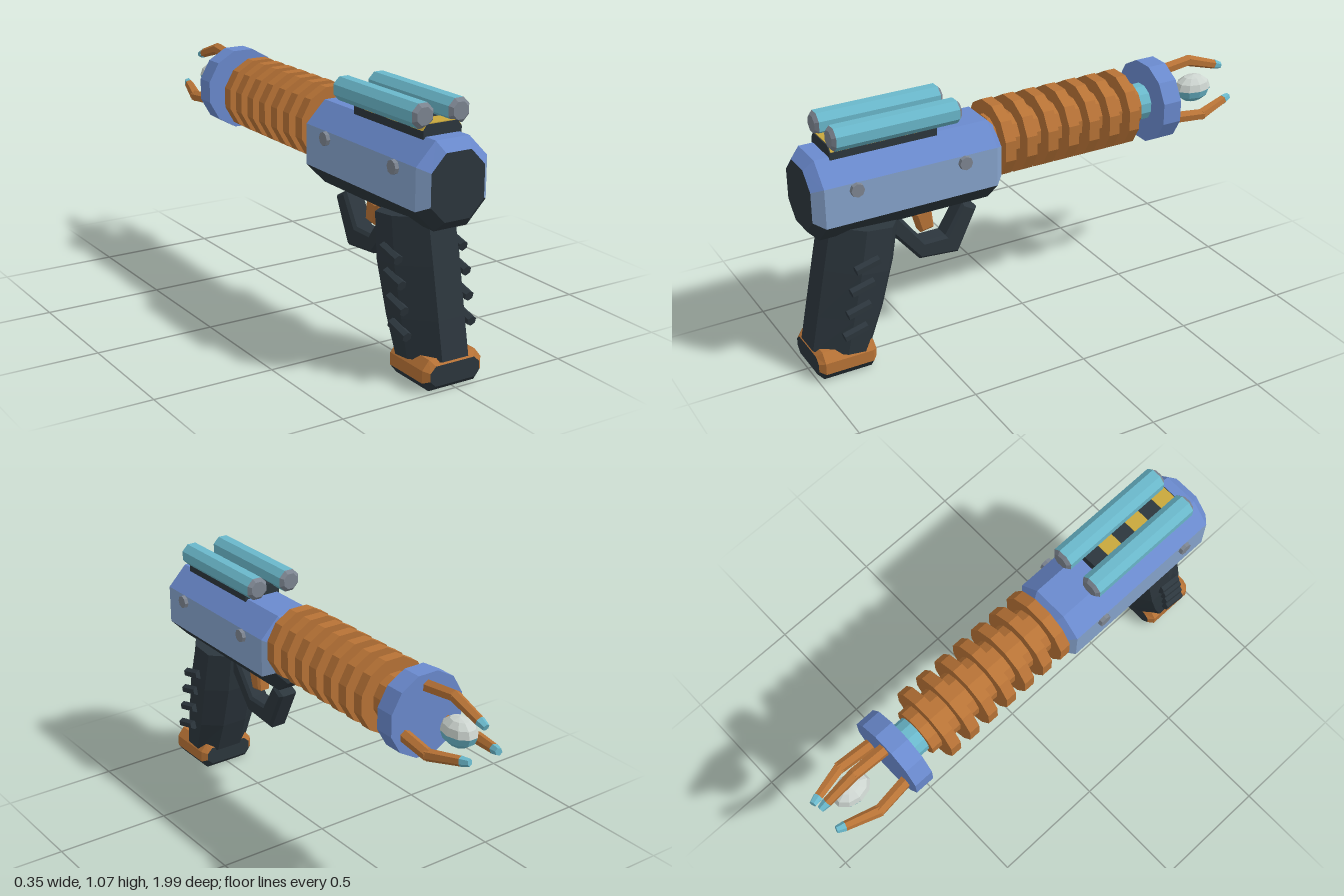
import * as THREE from 'three';

const mat = (name, color) => {
  const m = new THREE.MeshStandardMaterial({ color });
  m.name = name;
  return m;
};
const blue = mat('blue', 0x6a8ace), paleBlue = mat('paleBlue', 0x86a3cc);
const dark = mat('charcoal', 0x2c363d), copper = mat('copper', 0xb87336);
const cyan = mat('cyan', 0x6ab8cb), grey = mat('grey', 0x7d8591);
const yellow = mat('yellow', 0xc9a83c), white = mat('offWhite', 0xccd4cf);

// Faceted normals
const flat = (g) => {
  const f = g.index ? g.toNonIndexed() : g;
  f.computeVertexNormals();
  return f;
};

// Skin over cross-section rings; pick(ring, side) returns a material index, 'cap' for ends
function loft(rings, pick) {
  const g = new THREE.BufferGeometry(), pos = [], n = rings[0].length;
  const tri = (a, b, c, m) => {
    g.addGroup(pos.length / 3, 3, m);
    pos.push(...a, ...b, ...c);
  };
  for (let i = 0; i < rings.length - 1; i++) {
    const r = rings[i], s = rings[i + 1];
    for (let j = 0; j < n; j++) {
      const k = (j + 1) % n, m = pick(i, j);
      tri(r[j], r[k], s[k], m);
      tri(r[j], s[k], s[j], m);
    }
  }
  const a = rings[0], b = rings[rings.length - 1];
  for (let j = 1; j < n - 1; j++) {
    tri(a[0], a[j + 1], a[j], pick(-1, j));
    tri(b[0], b[j], b[j + 1], pick(-1, j));
  }
  g.setAttribute('position', new THREE.Float32BufferAttribute(pos, 3));
  g.computeVertexNormals();
  return g;
}

// Octagonal bar along z with bevelled ends
function octBar({ x = 0, y, hw, hy, sx, sy, z0, z1, bevel }, pick) {
  const ring = (z, b) => {
    const kx = (hw - b) / hw, ky = (hy - b) / hy;
    return [[hw, -sy], [hw, sy], [sx, hy], [-sx, hy], [-hw, sy], [-hw, -sy], [-sx, -hy], [sx, -hy]]
      .map(([u, v]) => [x + u * kx, y + v * ky, z]);
  };
  return loft([ring(z0, bevel), ring(z0 + bevel, 0), ring(z1 - bevel, 0), ring(z1, bevel)], pick);
}

export function createModel() {
  const model = new THREE.Group();
  const add = (name, geometry, material, parent = model) => {
    const m = new THREE.Mesh(geometry, material);
    m.name = name;
    parent.add(m);
    return m;
  };
  const group = (name) => {
    const g = new THREE.Group();
    g.name = name;
    model.add(g);
    return g;
  };
  // Cylinder along z with flats on the axes; r is the distance to a flat
  const drum = (name, r, z0, z1, sides, material, parent, y = 0.83) => {
    const g = new THREE.CylinderGeometry(r / Math.cos(Math.PI / sides), r / Math.cos(Math.PI / sides),
      z1 - z0, sides, 1, false, Math.PI / sides);
    g.rotateX(Math.PI / 2).translate(0, y, (z0 + z1) / 2);
    return add(name, flat(g), material, parent);
  };
  // Straight rod between two points
  const rod = (name, p, q, r0, r1, sides, material, parent) => {
    const a = new THREE.Vector3(...p), b = new THREE.Vector3(...q), d = b.clone().sub(a);
    const m = add(name, flat(new THREE.CylinderGeometry(r1, r0, d.length(), sides)), material, parent);
    m.position.copy(a).add(b).multiplyScalar(0.5);
    m.quaternion.setFromUnitVectors(new THREE.Vector3(0, 1, 0), d.normalize());
    return m;
  };
  // Side outline (z, y) given a width in x
  const slab = (name, pts, halfWidth, bevel, material) => {
    const shape = new THREE.Shape(pts.map(([z, y]) => new THREE.Vector2(-z, y)));
    const g = new THREE.ExtrudeGeometry(shape, {
      depth: 2 * (halfWidth - bevel), bevelEnabled: bevel > 0, bevelSize: bevel,
      bevelThickness: bevel, bevelOffset: -bevel, bevelSegments: 1,
    });
    g.translate(0, 0, bevel - halfWidth).rotateY(Math.PI / 2);
    return add(name, flat(g), material);
  };

  // Body and grip base: coloured upper facets, dark underside and ends
  const sidePick = [1, 0, 0, 0, 1, 2, 2, 2];
  const casePick = (i, j) => (i < 0 ? 2 : sidePick[j]);
  add('body', octBar({ y: 0.78, hw: 0.16, hy: 0.17, sx: 0.075, sy: 0.083, z0: 0.165, z1: 0.98, bevel: 0.04 },
    casePick), [blue, paleBlue, dark]);
  add('gripBase', octBar({ y: 0.0625, hw: 0.135, hy: 0.0625, sx: 0.105, sy: 0.025, z0: 0.745, z1: 0.995, bevel: 0.022 },
    casePick), [copper, copper, dark]);

  // Grip: rows of height, front z, back z, half width
  const gripRings = [[0.1, 0.995, 0.74, 0.135], [0.25, 0.965, 0.685, 0.143], [0.45, 0.925, 0.63, 0.15], [0.63, 0.888, 0.6, 0.14]]
    .map(([y, f, b, w]) => [[0.06, f], [w, f - 0.12], [w, b + 0.06], [0.06, b], [-0.06, b], [-w, b + 0.06], [-w, f - 0.12], [-0.06, f]]
      .map(([x, z]) => [x, y + (z - (f + b) / 2) * 0.1, z]));
  add('grip', loft(gripRings, () => 0), [dark]);
  const ridges = group('gripRidges');
  for (const s of [-1, 1]) {
    [[0.492, 0.78], [0.4, 0.805], [0.305, 0.825], [0.21, 0.845]].forEach(([y, z]) =>
      rod('gripRidge', [s * 0.15, y - 0.013, z + 0.05], [s * 0.15, y + 0.013, z - 0.05], 0.021, 0.021, 6, dark, ridges));
  }

  // Trigger and its guard
  slab('triggerGuard', [[0.62, 0.61], [0.62, 0.53], [0.5, 0.385], [0.325, 0.37], [0.235, 0.555],
    [0.3, 0.59], [0.38, 0.46], [0.475, 0.46], [0.59, 0.61]], 0.045, 0.012, dark);
  slab('trigger', [[0.51, 0.585], [0.485, 0.495], [0.425, 0.505], [0.435, 0.6]], 0.03, 0.01, copper);

  // Side screws
  const screws = group('screws');
  for (const s of [-1, 1]) {
    for (const z of [0.81, 0.35]) {
      rod('screw', [s * 0.15, 0.835, z], [s * 0.176, 0.835, z], 0.03, 0.028, 8, grey, screws);
    }
  }

  // Striped top rail
  const rail = group('topRail');
  const railPart = (name, pts, z0, z1, material) => {
    const g = new THREE.ExtrudeGeometry(new THREE.Shape(pts.map((p) => new THREE.Vector2(...p))),
      { depth: z1 - z0, bevelEnabled: false });
    add(name, flat(g.translate(0, 0, z0)), material, rail);
  };
  railPart('rail', [[-0.086, 0.94], [0.086, 0.94], [0.086, 0.97], [0.068, 0.994], [-0.068, 0.994], [-0.086, 0.97]],
    0.43, 0.88, dark);
  for (const z of [0.502, 0.652, 0.802]) {
    railPart('railStripe', [[-0.088, 0.972], [0.088, 0.972], [0.07, 0.997], [-0.07, 0.997]], z, z + 0.074, yellow);
  }

  // Twin tubes on the rail, grey at the ends
  for (const x of [-0.081, 0.081]) {
    add('topTube', octBar({ x, y: 1.026, hw: 0.047, hy: 0.047, sx: 0.02, sy: 0.02, z0: 0.335, z1: 0.88, bevel: 0.014 },
      (i) => (i === 1 ? 0 : 1)), [cyan, grey]);
  }

  // Finned barrel, neck and collar
  const barrel = group('barrel');
  drum('barrelCore', 0.1, -0.52, 0.18, 12, copper, barrel);
  for (let i = 0; i < 7; i++) {
    const z = 0.141 - i * 0.098;
    drum('barrelFin', 0.157, z - 0.024, z + 0.024, 12, copper, barrel);
  }
  drum('neck', 0.077, -0.6, -0.51, 12, cyan, barrel);
  drum('collar', 0.171, -0.67, -0.585, 12, blue, barrel);

  // Three bent prongs with bright tips
  const prongs = group('prongs');
  for (let i = 0; i < 3; i++) {
    const t = Math.PI / 2 + i * Math.PI * 2 / 3;
    const at = (r, z) => [Math.cos(t) * r, 0.83 + Math.sin(t) * r, z];
    rod('prongBase', at(0.118, -0.66), at(0.138, -0.826), 0.027, 0.025, 6, copper, prongs);
    rod('prongArm', at(0.139, -0.815), at(0.091, -0.963), 0.025, 0.02, 6, copper, prongs);
    rod('prongTip', at(0.092, -0.96), at(0.08, -0.995), 0.021, 0.015, 6, cyan, prongs);
  }

  // Floating core between the prongs
  const core = group('energyCore');
  core.position.set(0, 0.836, -0.853);
  core.scale.set(0.062, 0.06, 0.085);
  add('coreTop', flat(new THREE.SphereGeometry(1, 10, 3, 0, Math.PI * 2, 0, Math.PI / 2)), white, core);
  add('coreBottom', flat(new THREE.SphereGeometry(1, 10, 3, 0, Math.PI * 2, Math.PI / 2, Math.PI / 2)), cyan, core);

  return model;
}
